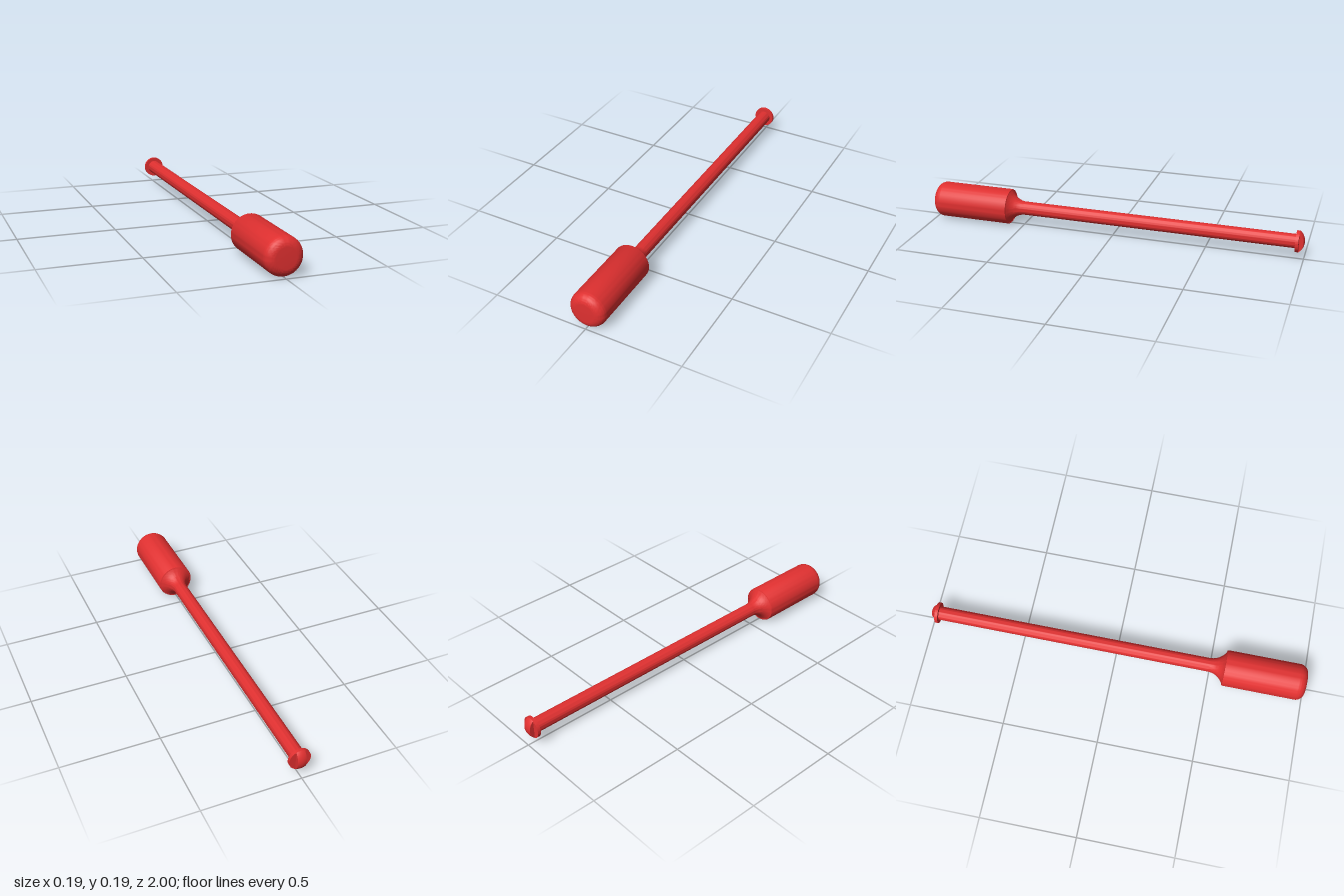
import * as THREE from 'three';
import { toCreasedNormals } from 'three/addons/utils/BufferGeometryUtils.js';

const AXIS_Y = 0.094;   // height of the long axis
const SHAFT_R = 0.036;
const TIP_R = 0.055;
const DISC_Z = -0.973;  // outer face of the tip disc
const BLADE_T = 0.022;  // half thickness of the blade

const material = new THREE.MeshStandardMaterial({ color: 0xe03030, side: THREE.DoubleSide });

// Points [radius, z], z increasing, spun about the z axis
function turned(name, points) {
  const lathe = new THREE.LatheGeometry(points.map(([r, z]) => new THREE.Vector2(r, z)), 64);
  const mesh = new THREE.Mesh(toCreasedNormals(lathe.rotateX(Math.PI / 2), 0.5), material);
  mesh.name = name;
  return mesh;
}

// Circular arc as [radius, z] points
function arc(cr, cz, rad, from, to, steps = 12) {
  return Array.from({ length: steps + 1 }, (_, i) => {
    const a = from + (to - from) * i / steps;
    return [cr + rad * Math.cos(a), cz + rad * Math.sin(a)];
  });
}

// Height of the spherical tip above the disc at a distance r from the axis
const DOME_R = 0.0695;
const domeHeight = r => Math.sqrt(DOME_R ** 2 - r * r) - Math.sqrt(DOME_R ** 2 - TIP_R ** 2);

function createBlade() {
  const blade = new THREE.Group();
  blade.name = 'blade';
  const add = (geometry, name) => {
    const mesh = new THREE.Mesh(geometry, material);
    mesh.name = name;
    blade.add(mesh);
  };

  // Domed outer strip
  const strip = new THREE.PlaneGeometry(2 * BLADE_T, 2, 8, 32);
  const p = strip.attributes.position;
  for (let i = 0; i < p.count; i++) {
    const x = p.getX(i);
    const y = Math.sin(p.getY(i) * Math.PI / 2) * Math.sqrt(TIP_R ** 2 - x * x);
    p.setXYZ(i, -x, y, DISC_Z - domeHeight(Math.hypot(x, y)));
  }
  strip.computeVertexNormals();
  add(strip, 'bladeEdge');

  // Flat cheeks on both sides
  const half = Math.sqrt(TIP_R ** 2 - BLADE_T ** 2);
  const outline = Array.from({ length: 33 }, (_, i) => {
    const y = half * Math.sin((i / 16 - 1) * Math.PI / 2);
    return new THREE.Vector2(DISC_Z - domeHeight(Math.hypot(BLADE_T, y)), y);
  });
  for (const side of [-1, 1]) {
    const cheek = new THREE.ShapeGeometry(new THREE.Shape(outline));
    // Shape x becomes z; mirrored outline keeps each face pointing outward
    cheek.rotateY(-Math.PI / 2);
    if (side > 0) {
      cheek.setIndex(Array.from(cheek.index.array).reverse());
      cheek.computeVertexNormals();
    }
    cheek.translate(side * BLADE_T, 0, 0);
    add(cheek, side > 0 ? 'leftCheek' : 'rightCheek');
  }
  return blade;
}

export function createModel() {
  const model = new THREE.Group();
  model.name = 'tool';

  // Grip with a rounded butt
  model.add(turned('handle', [
    [0.087, 0.572], [0.092, 0.574], [0.094, 0.579],
    ...arc(0.05, 0.956, 0.044, 0, Math.PI / 2),
    [0, 1],
  ]));

  // Rod flaring in a concave sweep into the grip
  const flareR = 0.095;
  model.add(turned('shaft', [
    [SHAFT_R, -0.958],
    ...arc(SHAFT_R + flareR, 0.49, flareR, Math.PI, Math.PI - 1.08),
  ]));

  // Thin collar disc at the tip
  model.add(turned('tipDisc', [
    [0, DISC_Z], [TIP_R, DISC_Z], [TIP_R, -0.957], [0, -0.957],
  ]));
  model.add(createBlade());

  model.position.y = AXIS_Y;
  const root = new THREE.Group();
  root.add(model);
  return root;
}
